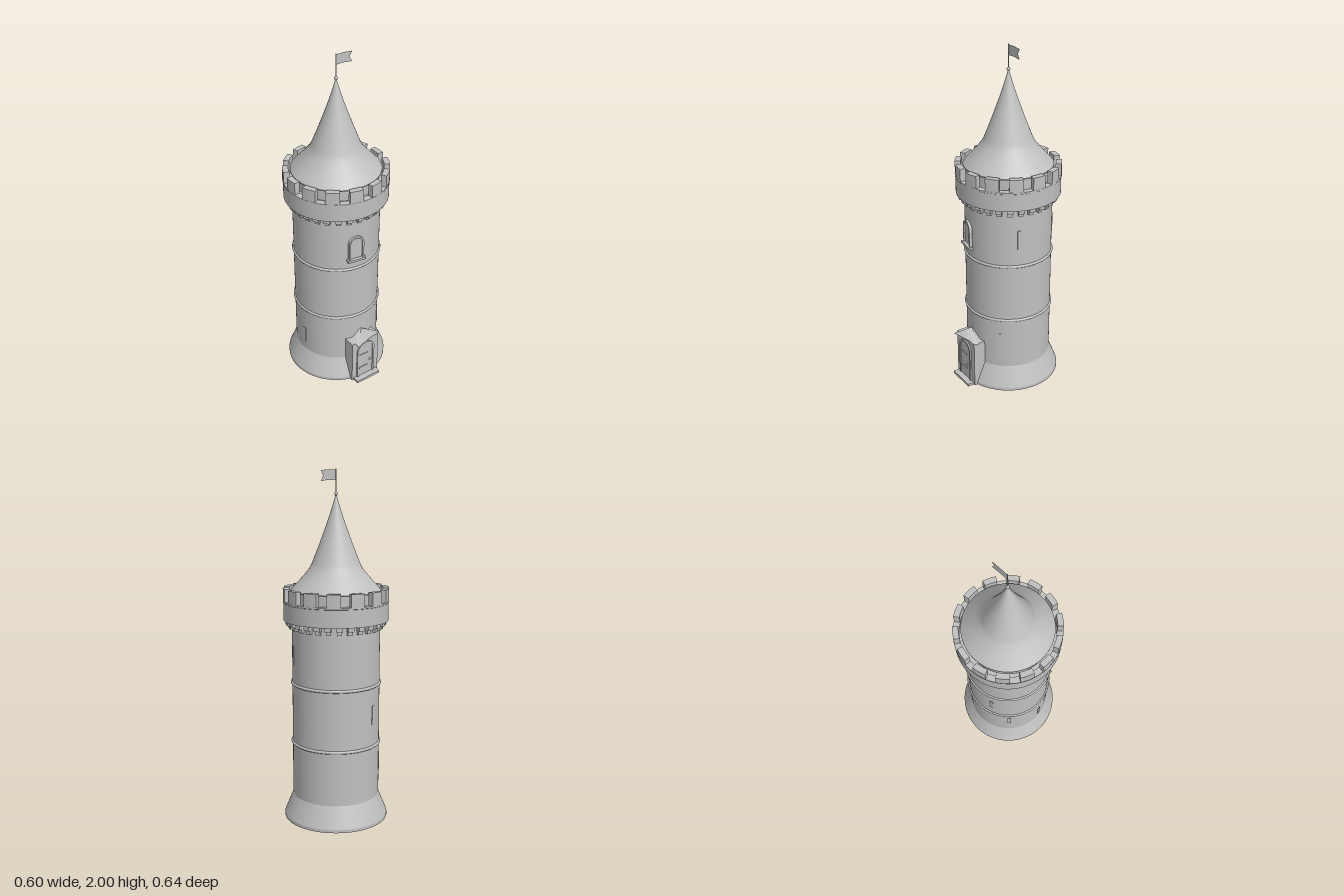
import * as THREE from 'three';
import { toCreasedNormals } from 'three/addons/utils/BufferGeometryUtils.js';

const stone = new THREE.MeshStandardMaterial({ color: 0xc0c0c0 });
stone.name = 'pale grey stone';
const cloth = new THREE.MeshStandardMaterial({ color: 0xc0c0c0, side: THREE.DoubleSide });
cloth.name = 'pale grey cloth';

const AXIS_Z = -0.022;

function add(parent, name, geometry, x = 0, y = 0, z = 0, material = stone) {
  const mesh = new THREE.Mesh(geometry, material);
  mesh.name = name;
  mesh.position.set(x, y, z);
  parent.add(mesh);
  return mesh;
}

const points = (list) => list.map(([x, y]) => new THREE.Vector2(x, y));
const turned = (list) => toCreasedNormals(new THREE.LatheGeometry(points(list), 72), 0.3);
const box = (w, h, d) => new THREE.BoxGeometry(w, h, d);

// Plan-view sector of a ring, extruded upwards, centred on +z
function ringBlock(inner, outer, angle, height) {
  const shape = new THREE.Shape();
  const mid = -Math.PI / 2;
  shape.absarc(0, 0, outer, mid - angle / 2, mid + angle / 2, false);
  shape.absarc(0, 0, inner, mid + angle / 2, mid - angle / 2, true);
  const geometry = new THREE.ExtrudeGeometry(shape, { depth: height, bevelEnabled: false, curveSegments: 6 });
  return toCreasedNormals(geometry.rotateX(-Math.PI / 2), 0.4);
}

// Round-headed outline standing on y = 0
function arch(Type, halfWidth, height) {
  const shape = new Type();
  shape.moveTo(-halfWidth, 0);
  shape.lineTo(halfWidth, 0);
  shape.lineTo(halfWidth, height - halfWidth);
  shape.absarc(0, height - halfWidth, halfWidth, 0, Math.PI, false);
  shape.lineTo(-halfWidth, 0);
  return shape;
}

function archPlate(halfWidth, height, depth, border = 0) {
  const shape = arch(THREE.Shape, halfWidth, height);
  if (border) shape.holes.push(arch(THREE.Path, halfWidth - border, height - border));
  return new THREE.ExtrudeGeometry(shape, { depth, bevelEnabled: false, curveSegments: 12 });
}

export function createModel() {
  const model = new THREE.Group();
  model.name = 'roundTower';
  const tower = new THREE.Group();
  tower.name = 'tower';
  tower.position.z = AXIS_Z;
  model.add(tower);

  // A pivot on the tower axis, turned towards a compass angle
  const facing = (name, degrees) => {
    const pivot = new THREE.Group();
    pivot.name = name;
    pivot.rotation.y = THREE.MathUtils.degToRad(degrees);
    tower.add(pivot);
    return pivot;
  };

  // Shaft and flared foot
  add(tower, 'plinth', turned([[0, 0], [0.3, 0], [0.3, 0.018], [0.25, 0.14]]));
  add(tower, 'shaft', turned([[0.25, 0.14], [0.25, 1.18]]));
  for (const y of [0.455, 0.805]) {
    const band = new THREE.TorusGeometry(0.25, 0.009, 10, 72).rotateX(Math.PI / 2);
    add(tower, 'stringCourse', band, 0, y, 0);
  }

  // Stepped brackets below the gallery
  const upperCorbel = ringBlock(0.245, 0.285, 0.12, 0.028);
  const lowerCorbel = ringBlock(0.245, 0.268, 0.1, 0.022);
  for (let i = 0; i < 28; i++) {
    const pivot = facing('corbel', (i + 0.5) * 360 / 28);
    add(pivot, 'corbelUpper', upperCorbel, 0, 1.142, 0);
    add(pivot, 'corbelLower', lowerCorbel, 0, 1.12, 0);
  }

  // Gallery wall with its rim and floor
  add(tower, 'gallery', turned([
    [0.245, 1.166], [0.297, 1.166], [0.297, 1.265], [0.3, 1.267], [0.3, 1.276],
    [0.264, 1.276], [0.264, 1.262], [0, 1.262],
  ]));

  // Battlements, with a gap facing the front
  const merlon = ringBlock(0.266, 0.299, THREE.MathUtils.degToRad(15), 0.074);
  for (let i = 0; i < 14; i++) {
    add(facing('battlement', (i + 0.5) * 360 / 14), 'merlon', merlon, 0, 1.274, 0);
  }

  // Bell-cast roof
  add(tower, 'roofDrum', turned([[0.24, 1.26], [0.24, 1.345]]));
  add(tower, 'roof', new THREE.LatheGeometry(points([
    [0.255, 1.335], [0.226, 1.368], [0.185, 1.412], [0.15, 1.455], [0.135, 1.485],
    [0.092, 1.595], [0.048, 1.715], [0.022, 1.795], [0.003, 1.86],
  ]), 72));
  add(tower, 'eaves', turned([[0.2, 1.33], [0.255, 1.33], [0.255, 1.336]]));

  // Finial and swallow-tailed flag
  add(tower, 'finial', new THREE.SphereGeometry(0.01, 16, 12), 0, 1.866, 0);
  add(tower, 'flagPole', new THREE.CylinderGeometry(0.003, 0.003, 0.14, 8), 0, 1.93, 0);
  const flag = new THREE.Shape(points([
    [0, 1.94], [0.05, 1.941], [0.102, 1.935], [0.086, 1.964], [0.102, 1.992], [0.05, 1.997], [0, 1.996],
  ]));
  add(tower, 'flag', new THREE.ShapeGeometry(flag), 0, 0, 0, cloth);

  // Arched window above the door
  const window = facing('window', -9);
  add(window, 'windowFrame', archPlate(0.046, 0.148, 0.025, 0.01), 0, 0.878, 0.238);
  add(window, 'windowPane', archPlate(0.038, 0.14, 0.016), 0, 0.878, 0.238);
  add(window, 'windowSill', box(0.11, 0.014, 0.035), 0, 0.872, 0.255);

  // Arrow slits climbing around the shaft
  const slits = [[46, 0.305], [70, 0.97], [145, 0.97], [200, 0.64], [225, 0.34], [275, 0.25]];
  for (const [degrees, y] of slits) {
    add(facing('arrowSlit', degrees), 'slit', box(0.02, 0.11, 0.008), 0, y, 0.249);
  }

  // Entrance porch with a three-sided cap
  const porch = new THREE.Group();
  porch.name = 'porch';
  model.add(porch);
  add(porch, 'porchBlock', box(0.19, 0.287, 0.14), 0, 0.1435, 0.212);
  const cap = new THREE.ConeGeometry(0.112, 0.058, 3);
  add(porch, 'porchRoof', cap, 0, 0.316, 0.237).rotation.y = -Math.PI / 4;
  add(porch, 'doorstep', box(0.166, 0.016, 0.06), 0, 0.008, 0.291);

  // Door, frame, hinges and handle
  add(porch, 'doorFrame', archPlate(0.062, 0.255, 0.01, 0.012), 0, 0.016, 0.281);
  add(porch, 'door', archPlate(0.051, 0.244, 0.005), 0, 0.016, 0.281);
  for (const y of [0.08, 0.18]) add(porch, 'hinge', box(0.065, 0.008, 0.005), -0.015, y, 0.287);
  add(porch, 'doorHandle', new THREE.SphereGeometry(0.008, 12, 8), 0.032, 0.12, 0.289);

  return model;
}
